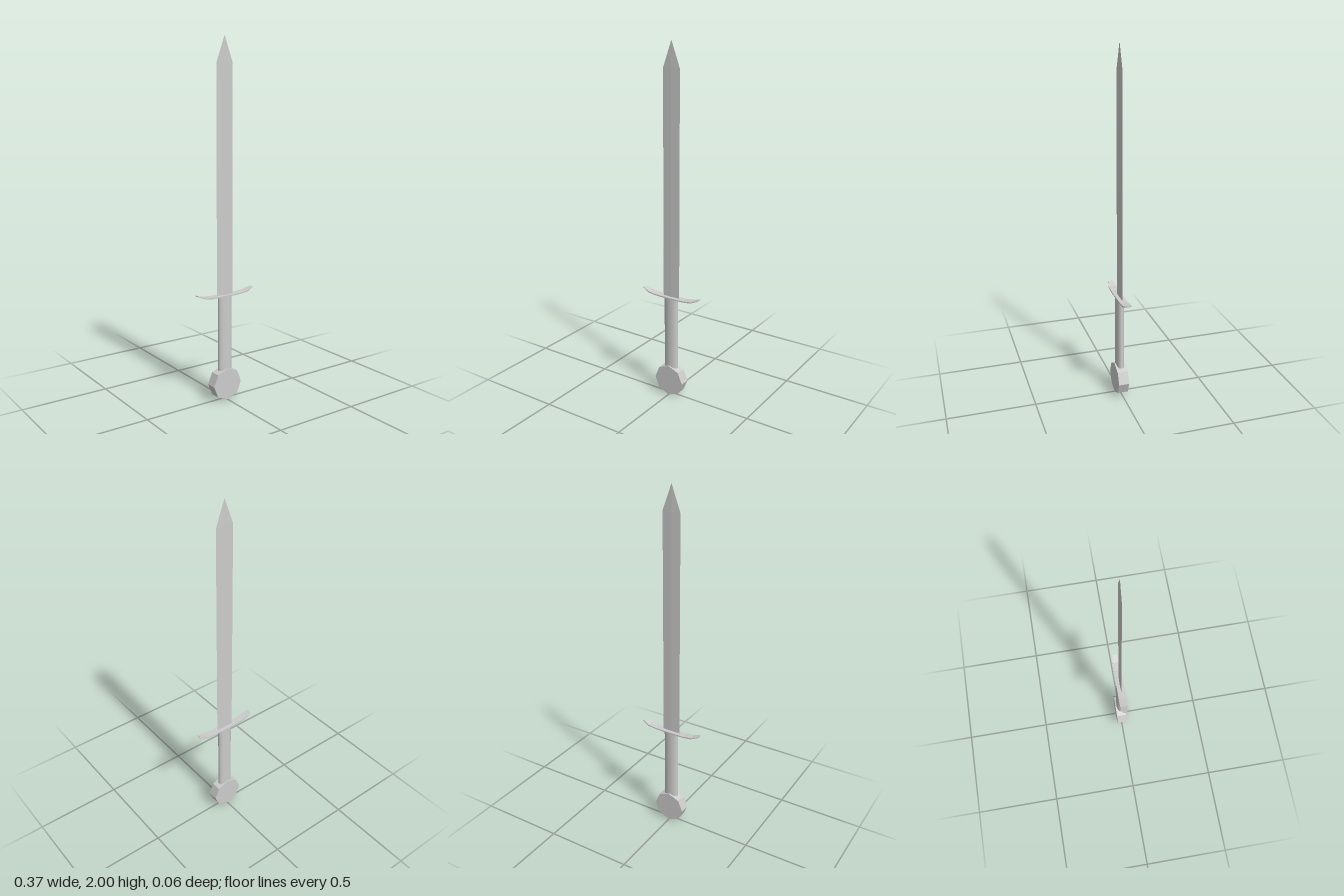
import * as THREE from 'three';

const mat = (flatShading) => new THREE.MeshStandardMaterial({ color: 0xcccccc, flatShading });

// Joins four-point rings, each counter-clockwise seen from the far end, and caps both ends
function loft(rings) {
  const index = [];
  const last = (rings.length - 1) * 4;
  for (let i = 0; i < last; i += 4) {
    for (let j = 0; j < 4; j++) {
      const a = i + j, b = i + (j + 1) % 4;
      index.push(a, b, b + 4, a, b + 4, a + 4);
    }
  }
  index.push(0, 2, 1, 0, 3, 2, last, last + 1, last + 2, last, last + 2, last + 3);
  const geometry = new THREE.BufferGeometry();
  geometry.setAttribute('position', new THREE.Float32BufferAttribute(rings.flat(2), 3));
  geometry.setIndex(index);
  geometry.computeVertexNormals();
  return geometry;
}

export function createModel() {
  const sword = new THREE.Group();
  sword.name = 'sword';
  const add = (name, geometry, flat = true) => {
    const mesh = new THREE.Mesh(geometry, mat(flat));
    mesh.name = name;
    sword.add(mesh);
    return mesh;
  };

  // Blade: thin diamond section, narrowing to a point
  const bladeSections = [[0.6, 0.052, 0.002], [1.86, 0.052, 0.002], [2, 0.0002, 0.0001]];
  add('blade', loft(bladeSections.map(([y, w, d]) =>
    [[w, y, 0], [0, y, -d], [-w, y, 0], [0, y, d]])));

  // Crossguard: thin strip curling up to narrower ends; x, bottom y, top y, half depth
  const half = [
    [0.045, 0.597, 0.604, 0.0225],
    [0.09, 0.598, 0.605, 0.0225],
    [0.14, 0.604, 0.611, 0.0225],
    [0.183, 0.622, 0.626, 0.0135],
  ];
  const mirrored = half.map(([x, ...rest]) => [-x, ...rest]).reverse();
  add('crossguard', loft([...mirrored, ...half].map(([x, bottom, top, d]) =>
    [[x, top, -d], [x, top, d], [x, bottom, d], [x, bottom, -d]])));

  // Grip: oval cylinder
  const grip = add('grip', new THREE.CylinderGeometry(0.043, 0.043, 0.43, 32), false);
  grip.scale.z = 0.023 / 0.043;
  grip.position.y = 0.385;

  // Pommel: eight-sided disc facing forward
  const pommel = add('pommel', new THREE.CylinderGeometry(0.092, 0.092, 0.06, 8).rotateX(Math.PI / 2));
  pommel.position.y = 0.092;

  return sword;
}
